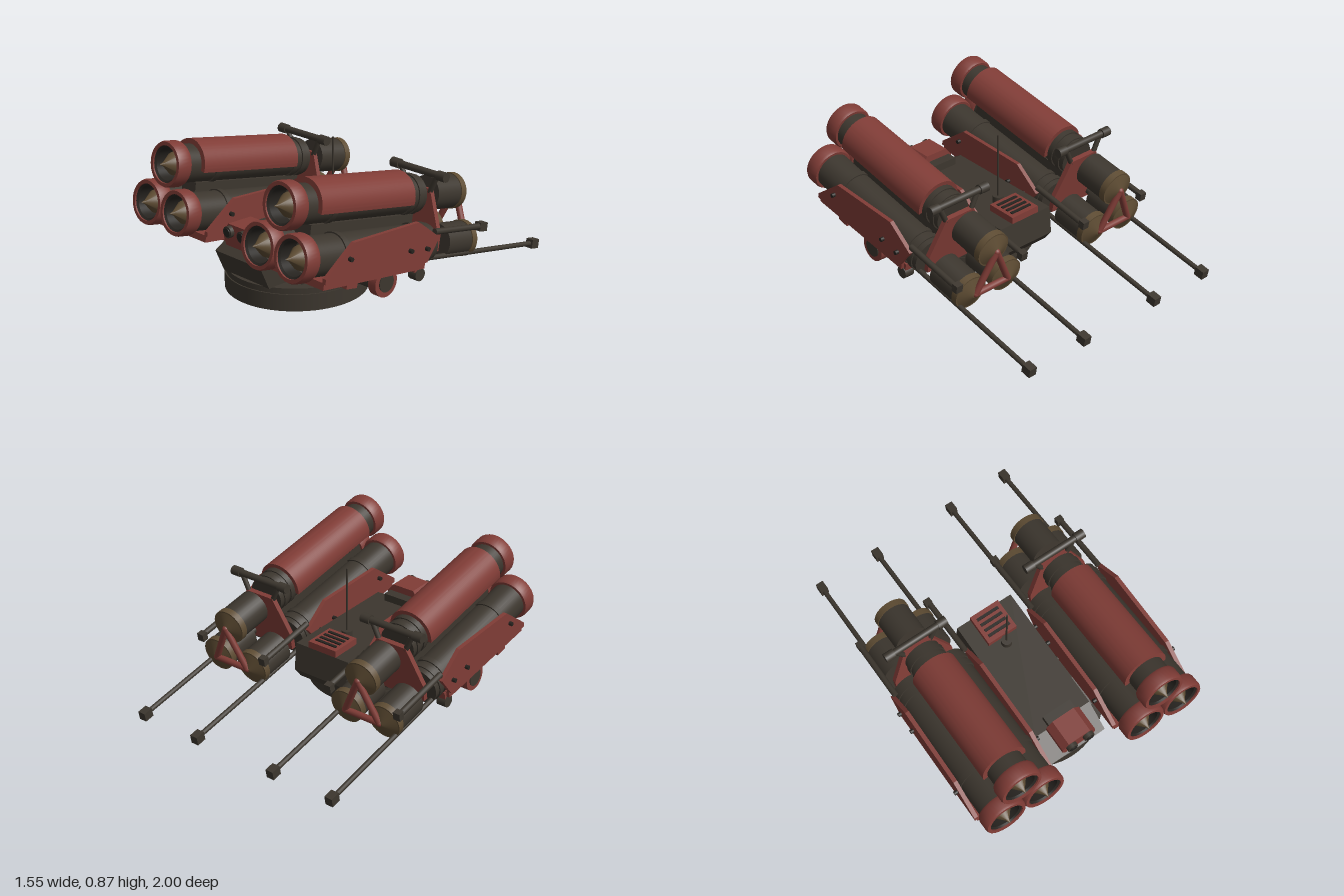
import * as THREE from 'three';
import { toCreasedNormals } from 'three/addons/utils/BufferGeometryUtils.js';

const paint = (name, color) => Object.assign(new THREE.MeshStandardMaterial({ color }), { name });
const red = paint('faded red', 0x803c36);
const dark = paint('dark olive grey', 0x3c362e);
const tan = paint('brass brown', 0x5e4c33);
const black = paint('deep black', 0x26231f);

function add(parent, name, geometry, material, x = 0, y = 0, z = 0) {
  const mesh = new THREE.Mesh(geometry, material);
  mesh.name = name;
  mesh.position.set(x, y, z);
  parent.add(mesh);
  return mesh;
}

const box = (w, h, d) => new THREE.BoxGeometry(w, h, d);
const cylY = (r, h, n = 32) => new THREE.CylinderGeometry(r, r, h, n);
const cylX = (r, l, n = 20) => cylY(r, l, n).rotateZ(Math.PI / 2);
// Cylinder along z, from the front radius to the back radius
const cylZ = (front, back, l, n = 32) => new THREE.CylinderGeometry(front, back, l, n).rotateX(Math.PI / 2);
// Turned profile of [radius, z] points around the z axis
const turned = (points, n = 40) => toCreasedNormals(
  new THREE.LatheGeometry(points.map(([r, z]) => new THREE.Vector2(r, z)), n).rotateX(Math.PI / 2), 0.6);

const extrude = (shape, depth) => new THREE.ExtrudeGeometry(shape, { depth, bevelEnabled: false, curveSegments: 28 })
  .translate(0, 0, -depth / 2);
const outline = (points) => new THREE.Shape(points.map(([a, b]) => new THREE.Vector2(a, b)));
// Side profile of [z, y] points, given a thickness along x
const profile = (points, width) => extrude(outline(points), width).rotateY(-Math.PI / 2);

function bar(parent, name, a, b, r, material) {
  const from = new THREE.Vector3(...a), to = new THREE.Vector3(...b);
  const mesh = add(parent, name, cylY(r, from.distanceTo(to), 14), material);
  mesh.position.copy(from).lerp(to, 0.5);
  mesh.quaternion.setFromUnitVectors(new THREE.Vector3(0, 1, 0), to.sub(from).normalize());
}

// One launch tube with collar, bore and pointed nose; muzzle at z = 0.643
function launchTube(x, y) {
  const tube = new THREE.Group();
  tube.name = 'launchTube';
  tube.position.set(x, y, 0);
  add(tube, 'tubeBody', turned([[0, -0.39], [0.112, -0.39], [0.112, 0.56], [0.106, 0.56], [0.106, 0.5], [0, 0.5]]), dark);
  add(tube, 'muzzleCollar', turned([[0.106, 0.55], [0.127, 0.55], [0.134, 0.565], [0.134, 0.63],
    [0.128, 0.643], [0.108, 0.643], [0.106, 0.55]]), red);
  add(tube, 'boreLiner', turned([[0.107, 0.53], [0.107, 0.634], [0.095, 0.625], [0.095, 0.53]]), black);
  add(tube, 'noseBase', cylZ(0.07, 0.07, 0.07), dark, 0, 0, 0.535);
  add(tube, 'noseCone', turned([[0.07, 0.57], [0.066, 0.585], [0.013, 0.65], [0, 0.68]]), tan);
  for (const z of [-0.34, -0.28, 0.33]) add(tube, 'tubeBand', cylZ(0.12, 0.12, 0.035), dark, 0, 0, z);
  return tube;
}

// Rear canister with brass rim and shallow conical cap
function rearCanister(x, y) {
  const can = new THREE.Group();
  can.name = 'rearCanister';
  can.position.set(x, y, -0.617);
  add(can, 'canisterBody', cylZ(0.102, 0.102, 0.2), dark, 0, 0, 0.012);
  add(can, 'canisterRim', cylZ(0.107, 0.107, 0.04), tan, 0, 0, -0.105);
  add(can, 'canisterCap', cylZ(0.1, 0.012, 0.035), tan, 0, 0, -0.142);
  return can;
}

function launcherPod() {
  const pod = new THREE.Group();
  pod.name = 'launcherPod';
  const cluster = [[0, 0.425], [-0.131, 0.172], [0.131, 0.172]];
  for (const [x, y] of cluster) {
    pod.add(launchTube(x, y));
    pod.add(rearCanister(x, y - 0.004));
  }

  // Curved cover over the top tube
  const cover = new THREE.Shape();
  cover.absarc(0, 0, 0.142, -0.2, Math.PI + 0.2, false);
  cover.absarc(0, 0, 0.11, Math.PI + 0.2, -0.2, true);
  add(pod, 'topCover', toCreasedNormals(extrude(cover, 0.726), 0.5), red, 0, 0.425, 0.103);

  // Cradle side plates with bolts, and the cradle floor
  const side = [[0.505, 0.055], [0.505, 0.085], [0.326, 0.27], [-0.17, 0.34], [-0.36, 0.24], [-0.284, 0.1]];
  for (const s of [-1, 1]) {
    add(pod, 'sidePlate', profile(side.slice().reverse(), 0.025), red, s * 0.258, 0, 0);
    for (const z of [-0.259, -0.124, 0.348]) add(pod, 'plateBolt', cylX(0.013, 0.03, 12), black, s * 0.277, 0.183, z);
    add(pod, 'floorBlock', box(0.06, 0.06, 0.08), red, s * 0.22, 0.035, 0.28);
    add(pod, 'rearFoot', cylX(0.038, 0.06), dark, s * 0.21, 0.02, -0.275);
    add(pod, 'rearFootBracket', box(0.05, 0.06, 0.07), red, s * 0.21, 0.065, -0.265);
  }
  add(pod, 'cradleFloor', profile([[0.5, 0.02], [0.5, 0.06], [-0.284, 0.1], [-0.284, 0.06]].reverse(), 0.51), red);
  add(pod, 'tubeSpacer', box(0.12, 0.14, 0.8), dark, 0, 0.25, 0.05);

  // Rear bulkhead and cross handle
  const bulkhead = outline([[-0.2, 0.13], [0.2, 0.13], [0.2, 0.24], [0.1, 0.47], [-0.1, 0.47], [-0.2, 0.24]]);
  add(pod, 'rearBulkhead', extrude(bulkhead, 0.03), red, 0, 0, -0.435);
  add(pod, 'handleBar', cylX(0.021, 0.4), dark, 0, 0.562, -0.42);
  for (const s of [-1, 1]) {
    add(pod, 'handleGrip', cylX(0.029, 0.06), dark, s * 0.178, 0.562, -0.42);
    bar(pod, 'handlePost', [s * 0.09, 0.45, -0.435], [s * 0.14, 0.56, -0.42], 0.016, dark);
    // Side rails and long stabiliser rods
    add(pod, 'sideRail', cylZ(0.018, 0.018, 0.4, 14), dark, s * 0.245, 0.266, -0.54);
    add(pod, 'railCap', box(0.045, 0.05, 0.04), dark, s * 0.24, 0.264, -0.742);
    add(pod, 'stabiliserRod', cylZ(0.015, 0.015, 0.96, 14), dark, s * 0.204, 0.1, -0.85);
    add(pod, 'rodEnd', box(0.05, 0.055, 0.062), dark, s * 0.204, 0.1, -1.325);
    bar(pod, 'canisterLink', [s * 0.1, 0.17, -0.38], [s * 0.1, 0.17, -0.54], 0.025, dark);
  }

  // Triangular frame joining the canisters
  const corners = cluster.map(([x, y]) => [x * 0.9, y, -0.768]);
  corners.forEach((c, i) => {
    bar(pod, 'rearFrameBar', c, corners[(i + 1) % 3], 0.02, red);
    add(pod, 'rearFrameJoint', new THREE.SphereGeometry(0.021, 14, 10), red, ...c);
  });
  return pod;
}

function turret() {
  const group = new THREE.Group();
  group.name = 'turret';
  // Round base
  add(group, 'baseDisc', cylY(0.42, 0.1, 64), dark, 0, 0.05, 0.365);
  add(group, 'baseRing', cylY(0.412, 0.035, 64), dark, 0, 0.1165, 0.365);
  // Central housing
  const hull = [[-0.136, 0.13], [0.75, 0.13], [0.812, 0.27], [0.645, 0.37], [-0.17, 0.37], [-0.19, 0.2]];
  add(group, 'housing', profile(hull, 0.385), dark);

  // Sensor head with two lenses
  const head = outline([[-0.115, 0.37], [-0.095, 0.33], [0.095, 0.33], [0.115, 0.37], [0.115, 0.41],
    [0.075, 0.462], [-0.075, 0.462], [-0.115, 0.41]]);
  add(group, 'sensorHead', extrude(head, 0.165), red, 0, 0, 0.727);
  add(group, 'sensorRearBox', box(0.19, 0.05, 0.07), dark, 0, 0.393, 0.615);
  for (const s of [-1, 1]) {
    add(group, 'lensBarrel', cylZ(0.034, 0.034, 0.04, 24), dark, s * 0.058, 0.42, 0.814);
    add(group, 'lens', cylZ(0.025, 0.025, 0.008, 24), black, s * 0.058, 0.42, 0.836);
  }

  // Vent with slats
  add(group, 'vent', box(0.2, 0.045, 0.2), red, 0, 0.39, -0.07);
  for (let i = 0; i < 4; i++) add(group, 'ventSlat', box(0.15, 0.008, 0.018), black, 0, 0.415, -0.13 + i * 0.04);
  // Antenna
  add(group, 'antennaBase', cylY(0.033, 0.05, 20), dark, 0, 0.393, 0.07);
  add(group, 'antennaMast', cylY(0.006, 0.42, 10), dark, 0, 0.615, 0.07);

  // Trunnions, end rings and supports
  for (const s of [-1, 1]) {
    add(group, 'trunnion', cylX(0.06, 0.52, 32), dark, s * 0.45, 0.215, 0.365);
    add(group, 'trunnionRing', cylX(0.085, 0.055, 36), red, s * 0.695, 0.215, 0.365);
    add(group, 'trunnionCap', cylX(0.055, 0.008, 28), dark, s * 0.724, 0.215, 0.365);
    add(group, 'trunnionSupport', profile([[0.11, 0.13], [0.62, 0.13], [0.44, 0.28], [0.29, 0.28]], 0.06), dark, s * 0.22);
    for (const z of [0.16, 0.28, 0.45, 0.57]) add(group, 'supportBolt', cylY(0.014, 0.03, 10), dark, s * 0.27, 0.145, z);
    add(group, 'podLink', cylX(0.014, 0.06, 12), dark, s * 0.2, 0.29, 0.3);
  }
  return group;
}

export function createModel() {
  const model = new THREE.Group();
  model.name = 'twinLauncher';
  model.add(turret());
  for (const s of [-1, 1]) {
    const pod = launcherPod();
    pod.position.set(s * 0.483, 0.21, 0.365);
    pod.rotation.x = -THREE.MathUtils.degToRad(10);
    model.add(pod);
  }
  return model;
}
